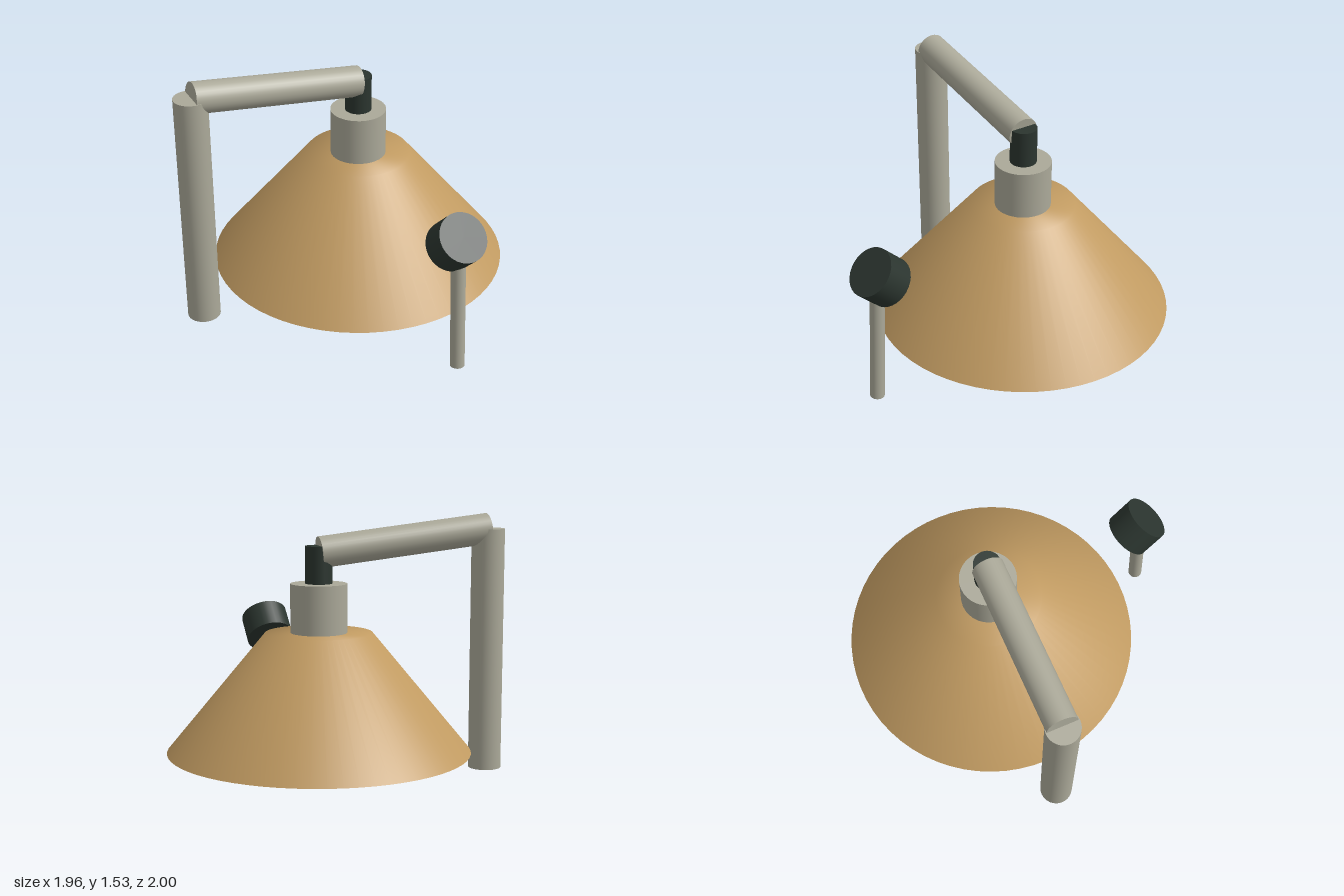
import * as THREE from 'three';

const mat = (name, color) => {
  const m = new THREE.MeshStandardMaterial({ color });
  m.name = name;
  return m;
};

export function createModel() {
  const group = new THREE.Group();
  const grey = mat('warm grey', 0xaba999);
  const tan = mat('tan', 0xc09a61);
  const dark = mat('dark green black', 0x2b352f);
  const X = 0.117, Z = -0.137;

  const add = (name, geometry, material) => {
    const mesh = new THREE.Mesh(geometry, material);
    mesh.name = name;
    group.add(mesh);
    return mesh;
  };

  // capped cylinder running from point a to point b
  const rod = (name, a, b, radius, material) => {
    const from = new THREE.Vector3(...a), to = new THREE.Vector3(...b);
    const dir = to.clone().sub(from);
    const mesh = add(name, new THREE.CylinderGeometry(radius, radius, dir.length(), 32), material);
    mesh.position.copy(from).add(to).multiplyScalar(0.5);
    mesh.quaternion.setFromUnitVectors(new THREE.Vector3(0, 1, 0), dir.normalize());
    return mesh;
  };

  // conical shade, smooth over the rim, with a flat closed base
  const profile = [[0.86, 0.203], [0.302, 0.877], [0, 0.877]].map(p => new THREE.Vector2(...p));
  add('shade', new THREE.LatheGeometry(profile, 64), tan).position.set(X, 0, Z);
  const base = add('shadeBase', new THREE.CircleGeometry(0.86, 64), tan);
  base.rotation.x = Math.PI / 2;
  base.position.set(X, 0.203, Z);

  // collar and stem above the shade
  rod('collar', [X, 0.85, Z], [X, 1.153, Z], 0.16, grey);
  rod('stem', [X, 1.1, Z], [X, 1.363, Z], 0.076, dark);

  // upright post and sloping arm
  rod('post', [-0.885, 0.042, Z], [-0.885, 1.442, Z], 0.095, grey);
  rod('arm', [-0.88, 1.442, Z], [0.112, 1.327, Z], 0.089, grey);

  // separate tilted head on a thin handle
  rod('handle', [0.218, 0.003, 0.9], [0.214, 0.76, 0.861], 0.041, grey);
  rod('head', [0.205, 0.725, 0.78], [0.217, 0.845, 0.9], 0.141, dark);

  return group;
}
